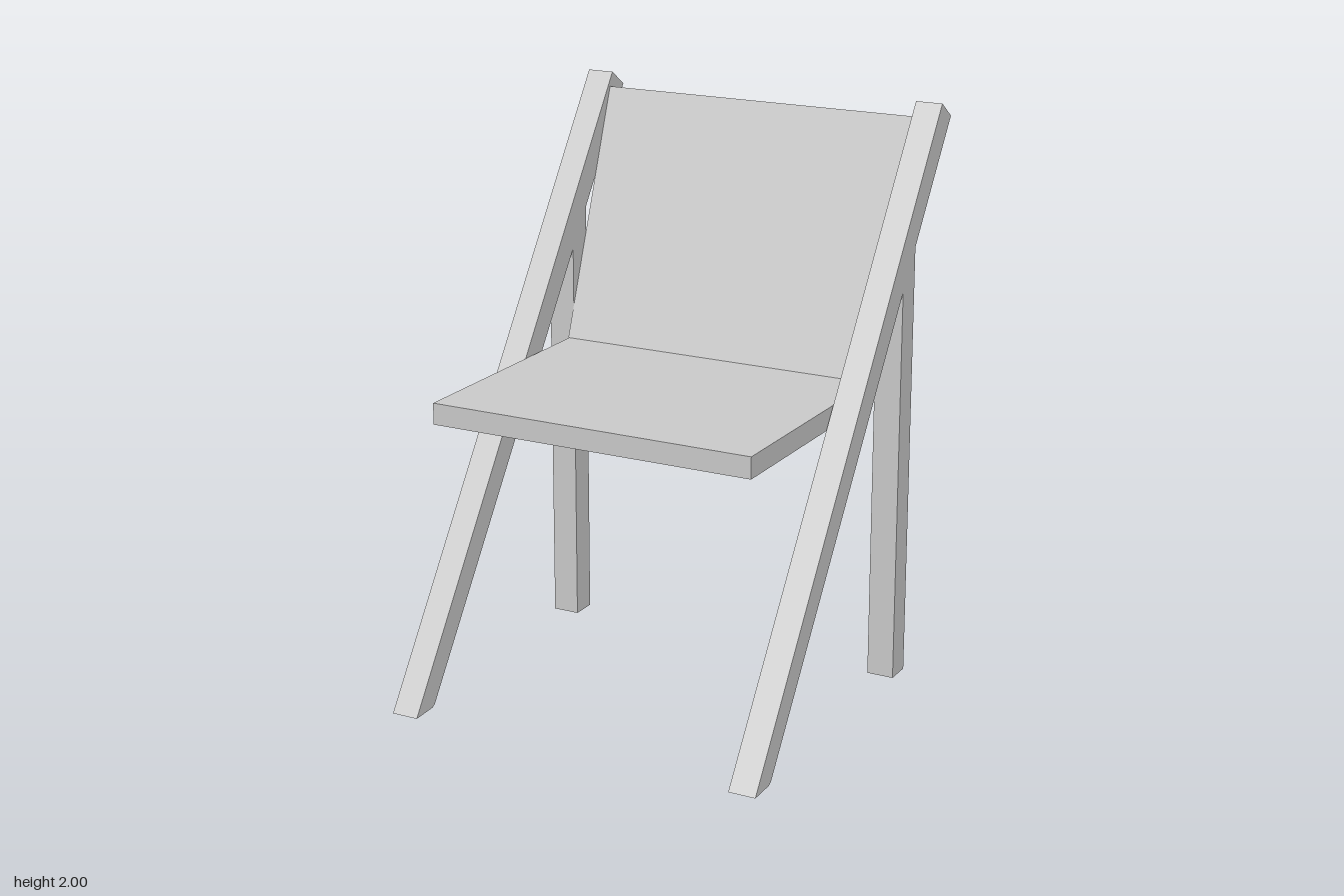
import * as THREE from 'three';

const material = new THREE.MeshStandardMaterial({ color: 0xcccccc, flatShading: true });

// Extrudes a side profile of [z, y] points across x, centred on the given x.
function slab(name, profile, width, x = 0) {
  const shape = new THREE.Shape(profile.map(([z, y]) => new THREE.Vector2(z, y)));
  const geometry = new THREE.ExtrudeGeometry(shape, { depth: width, bevelEnabled: false });
  geometry.translate(0, 0, -width / 2).rotateY(-Math.PI / 2).translate(x, 0, 0);
  const mesh = new THREE.Mesh(geometry, material);
  mesh.name = name;
  return mesh;
}

export function createModel() {
  const chair = new THREE.Group();
  chair.name = 'chair';

  // Flat seat board
  chair.add(slab('seat', [[0.58, 1.01], [0.58, 1.085], [-0.6, 1.085], [-0.6, 1.01]], 1.182));

  // Reclined back panel, its foot let into the seat
  chair.add(slab('backrest', [[-0.315, 1.085], [-0.632, 1.95], [-0.7, 1.926], [-0.381, 1.06]], 1.19));

  // Long slanted front leg and upright rear leg on each side
  const legProfile = [[0.73, 0], [-0.65, 2], [-0.73, 1.945], [0.617, 0.012], [0.632, 0.003]];
  const postProfile = [[-0.355, 0], [-0.355, 1.407], [-0.45, 1.544], [-0.45, 0]];
  for (const [side, label] of [[1, 'left'], [-1, 'right']]) {
    chair.add(slab(`${label}FrontLeg`, legProfile, 0.097, side * 0.643));
    chair.add(slab(`${label}RearLeg`, postProfile, 0.097, side * 0.643));
  }
  return chair;
}
